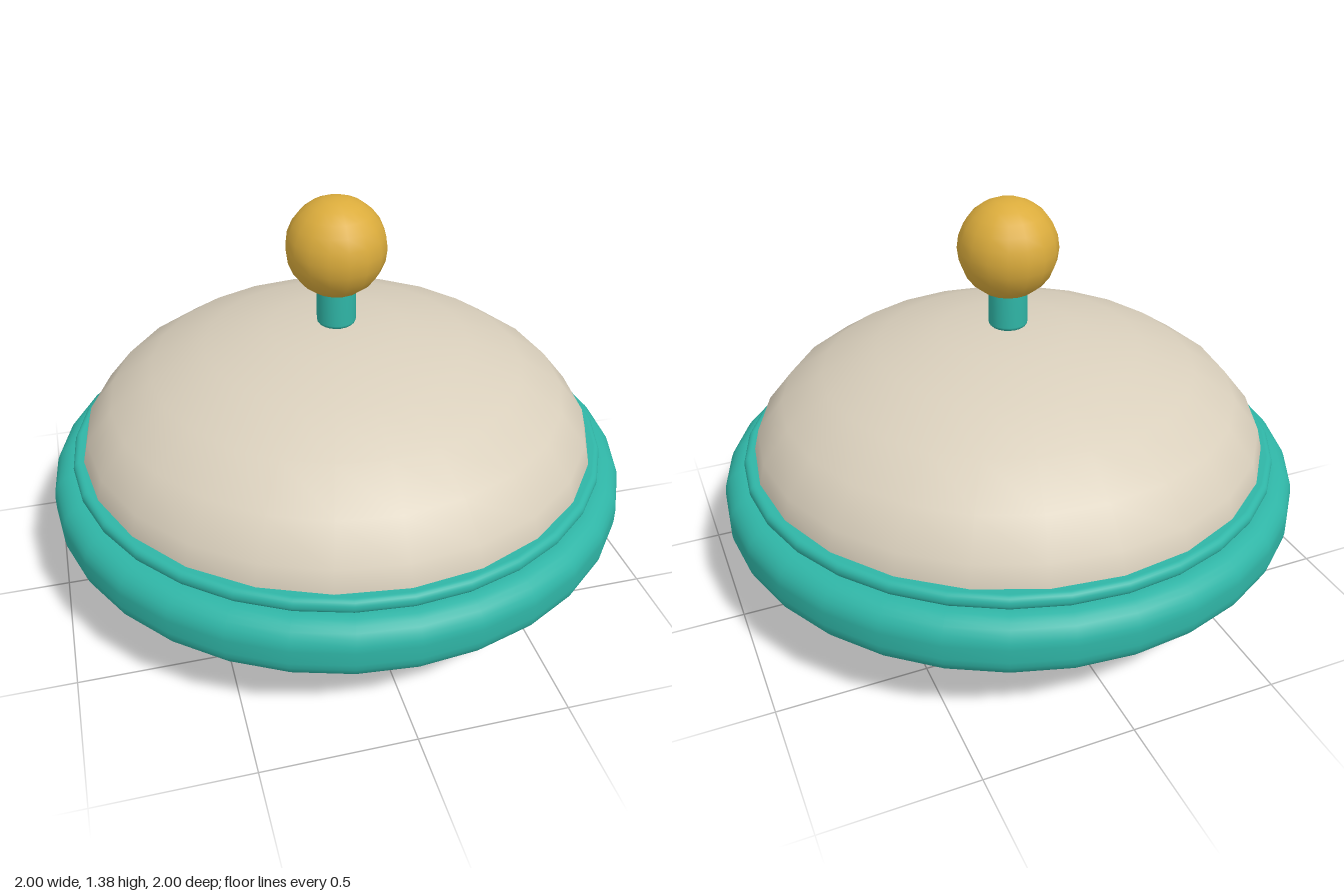
import * as THREE from 'three';

const shell = new THREE.MeshStandardMaterial({ name: 'cream', color: 0xd9cfbc });
const teal = new THREE.MeshStandardMaterial({ name: 'teal', color: 0x2fb5a6 });
const gold = new THREE.MeshStandardMaterial({ name: 'gold', color: 0xdbac3c });

// Lathed solid whose outer edges are rounded with radius r
function roundedRing(inner, outer, y0, y1, r, segments, steps = 6) {
  const points = [new THREE.Vector2(inner, y0)];
  const corner = (cy, start) => {
    for (let i = 0; i <= steps; i++) {
      const a = start + (i / steps) * Math.PI / 2;
      points.push(new THREE.Vector2(outer - r + r * Math.cos(a), cy + r * Math.sin(a)));
    }
  };
  corner(y0 + r, -Math.PI / 2);
  corner(y1 - r, 0);
  points.push(new THREE.Vector2(inner, y1));
  return new THREE.LatheGeometry(points, segments);
}

export function createModel() {
  const model = new THREE.Group();
  model.name = 'saucer';
  const add = (name, geometry, material) => {
    const mesh = new THREE.Mesh(geometry, material);
    mesh.name = name;
    model.add(mesh);
    return mesh;
  };

  // Flattened hull
  const hull = add('hull', new THREE.SphereGeometry(0.9, 24, 12), shell);
  hull.scale.y = 0.467 / 0.9;
  hull.position.y = 0.467;

  // Thick rim with a thin band resting on it
  add('rim', roundedRing(0.74, 1, 0.262, 0.468, 0.08, 32), teal);
  add('rimBand', roundedRing(0.8, 0.925, 0.466, 0.515, 0.022, 32), teal);

  // Stem and ball on top
  add('stem', roundedRing(0, 0.066, 0.938, 1.1, 0.014, 20, 3), teal);
  add('ball', new THREE.SphereGeometry(0.168, 16, 12), gold).position.y = 1.215;

  return model;
}
